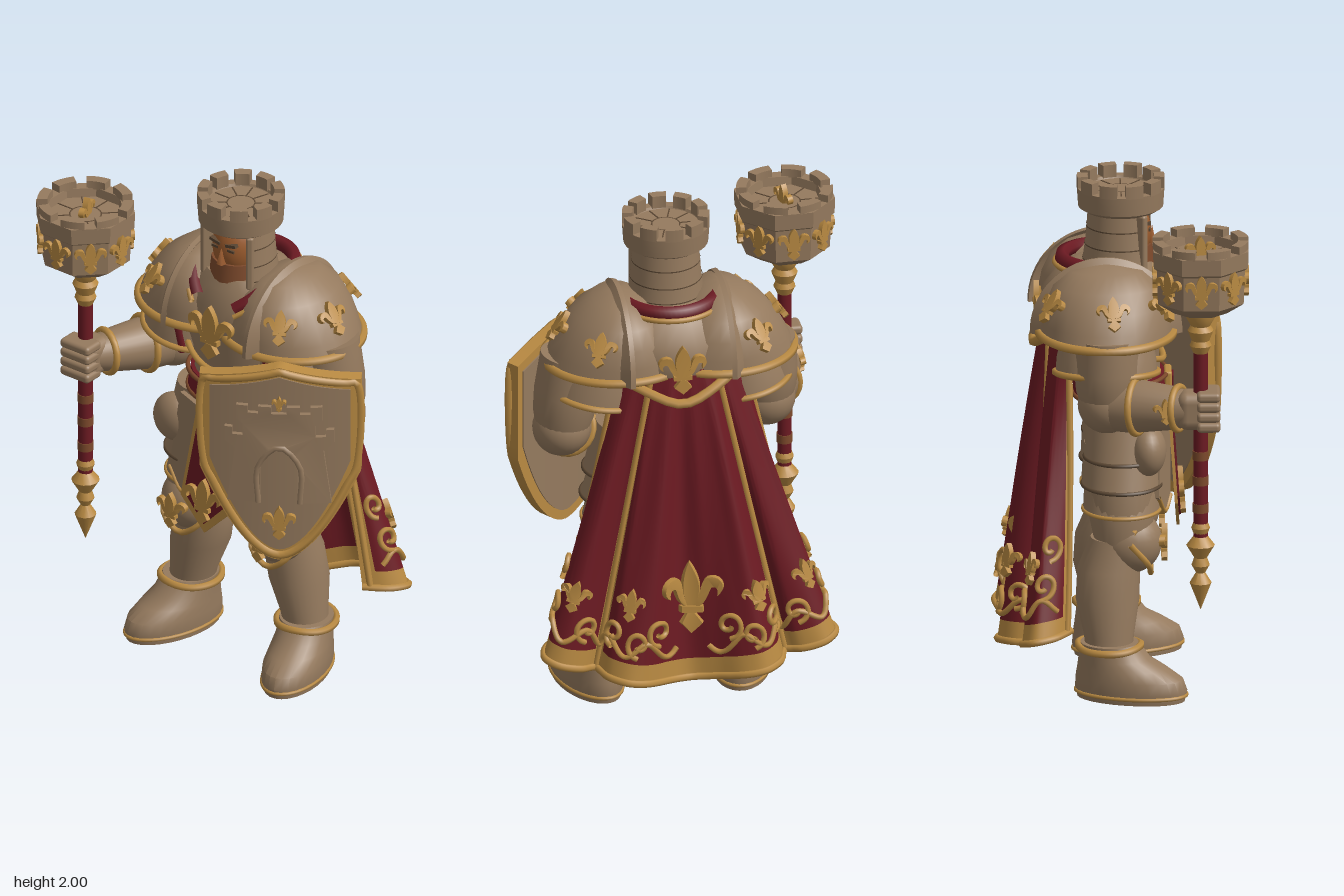
import * as THREE from 'three';
import { toCreasedNormals } from 'three/addons/utils/BufferGeometryUtils.js';
import { RoundedBoxGeometry } from 'three/addons/geometries/RoundedBoxGeometry.js';

const paint = (name, color) => Object.assign(new THREE.MeshStandardMaterial({ color, side: THREE.DoubleSide }), { name });
const V = (x, y, z) => new THREE.Vector3(x, y, z);
const P = (a) => a.map(([x, y]) => new THREE.Vector2(x, y));
const line = (n, fn) => Array.from({ length: n + 1 }, (_, i) => fn(i / n));
const TAU = Math.PI * 2;

// Adds a named mesh; dir turns its +z side towards a direction
function add(parent, name, geo, mat, pos = [0, 0, 0], dir = [0, 0, 1]) {
  const m = Object.assign(new THREE.Mesh(geo, mat), { name });
  m.position.set(...pos);
  m.lookAt(V(...pos).add(V(...dir)));
  parent.add(m);
}
function group(parent, name, pos, turn = [0, 0, 0]) {
  const g = Object.assign(new THREE.Group(), { name });
  g.position.set(...pos);
  g.rotation.set(...turn);
  parent.add(g);
  return g;
}
const lathe = (pts, seg = 32, start = 0, len = TAU) => toCreasedNormals(new THREE.LatheGeometry(P(pts), seg, start, len), 0.6);
const ball = (x, y, z) => new THREE.SphereGeometry(1, 24, 16).scale(x, y, z);
const block = (x, y, z, r) => new RoundedBoxGeometry(x, y, z, 3, r);
const extrude = (shape, depth) => new THREE.ExtrudeGeometry(shape, { depth, bevelEnabled: false, curveSegments: 8 });
const cord = (pts, r, closed = false) => new THREE.TubeGeometry(new THREE.CatmullRomCurve3(pts, closed), pts.length * 3, r, 6, closed);
const bead = (pts, r) => cord(pts.map((p) => V(...p)), r);
// Oval trim, with an optional V dip towards front and back
const oval = (y, rx, rz, cz, r, dip = 0) => cord(line(23, (t) => {
  const a = t * TAU * 23 / 24;
  return V(rx * Math.sin(a), y - dip * Math.cos(a) ** 4, cz + rz * Math.cos(a));
}), r, true);
// Moves every vertex by a rule
function warp(geo, rule) {
  const p = geo.attributes.position, v = V(0, 0, 0);
  for (let i = 0; i < p.count; i++) p.setXYZ(i, ...rule(v.fromBufferAttribute(p, i)).toArray());
  return toCreasedNormals(geo, 0.7);
}
// Skin over oval sections [y, rx, rz, cx, cz], listed upwards, with closed ends
function loft(rows, seg = 28) {
  const all = [[rows[0][0], 0, 0, ...rows[0].slice(3)], ...rows, [rows.at(-1)[0], 0, 0, ...rows.at(-1).slice(3)]];
  return warp(new THREE.CylinderGeometry(1, 1, all.length - 1, seg, all.length - 1, true), (v) => {
    const [y, rx, rz, cx = 0, cz = 0] = all[Math.round(v.y + (all.length - 1) / 2)];
    return v.set(cx + rx * v.x, y, cz + rz * v.z);
  });
}
// Round limb from a to b with radii [t, r]
function limb(a, b, rows) {
  const d = b.clone().sub(a), g = loft(rows.map(([t, r]) => [t * d.length(), r, r]));
  return g.applyQuaternion(new THREE.Quaternion().setFromUnitVectors(V(0, 1, 0), d.normalize())).translate(...a.toArray());
}
// Lily ornament of a given height; k bends it back at the sides
function lily(size, k = 0) {
  const c = new THREE.Shape().moveTo(0, 0.5).quadraticCurveTo(0.26, 0.2, 0.06, -0.14).lineTo(-0.06, -0.14).quadraticCurveTo(-0.26, 0.2, 0, 0.5);
  const sides = [-1, 1].map((s) => new THREE.Shape().moveTo(0.05 * s, -0.1)
    .bezierCurveTo(0.2 * s, 0, 0.12 * s, 0.3, 0.32 * s, 0.28).bezierCurveTo(0.48 * s, 0.26, 0.52 * s, 0.08, 0.38 * s, 0)
    .quadraticCurveTo(0.42 * s, 0.15, 0.31 * s, 0.13).bezierCurveTo(0.25 * s, 0.08, 0.25 * s, -0.1, 0.05 * s, -0.16));
  const band = new THREE.Shape(P([[-0.18, -0.21], [0.18, -0.21], [0.18, -0.12], [-0.18, -0.12]]));
  const foot = new THREE.Shape(P([[-0.05, -0.2], [-0.17, -0.36], [0, -0.5], [0.17, -0.36], [0.05, -0.2]]));
  return warp(extrude([c, ...sides, band, foot], 0.022), (v) => v.set(v.x * size, v.y * size, v.z - 0.006 - k * (v.x * size) ** 2));
}
// Battlement blocks in a circle, around a floor paved with n stones
function battlement(parent, stone, dark, n, r0, r1, y, h, floor) {
  const w = (Math.PI / n) * 0.66, s = new THREE.Shape().absarc(0, 0, r1, -w, w, false).absarc(0, 0, r0, w, -w, true);
  add(parent, 'pavingRing', new THREE.RingGeometry(r0 * 0.4, r0 * 0.44, 28).rotateX(-Math.PI / 2), dark, [0, floor + 0.002, 0]);
  for (let i = 0; i < n; i++) {
    add(parent, 'battlement', extrude(s, h).rotateX(-Math.PI / 2).rotateY((i + 0.5) / n * TAU), stone, [0, y, 0]);
    add(parent, 'pavingJoint', new THREE.BoxGeometry(r0 * 0.56, 0.004, 0.005).translate(r0 * 0.7, 0, 0).rotateY(i / n * TAU), dark, [0, floor, 0]);
  }
}

export function createModel() {
  const root = Object.assign(new THREE.Group(), { name: 'castleKnight' });
  const stone = paint('stone armour', 0x957a5e), gold = paint('gold', 0xb98a42), red = paint('red cloth', 0x6c1a22);
  const skin = paint('skin', 0x9c5c2e), dark = paint('dark joints', 0x5c4834), leather = paint('leather', 0x7e4a2c);
  const body = group(root, 'body', [0.05, 0, 0]);

  // Torso, collar and belt
  add(body, 'torso', loft([[0.84, 0.11, 0.1], [1.1, 0.2, 0.16], [1.24, 0.2, 0.17, 0, -0.02], [1.31, 0.23, 0.185, 0, -0.04], [1.44, 0.28, 0.24, 0, -0.065],
    [1.55, 0.27, 0.235, 0, -0.065], [1.63, 0.22, 0.19, 0, -0.05], [1.67, 0.15, 0.14, 0, -0.02]]), stone);
  add(body, 'chestTrim', oval(1.33, 0.25, 0.207, -0.045, 0.013, 0.055), gold);
  const scarf = (r, drop) => line(20, (t) => {
    const a = 0.5 + t * (TAU - 1);
    return V(r * Math.sin(a), 1.675 - drop - 0.13 * Math.max(0, Math.cos(a)) ** 2, -0.025 + (r + 0.015) * Math.cos(a));
  });
  add(body, 'scarf', cord(scarf(0.185, 0), 0.028), red);
  add(body, 'scarfTrim', cord(scarf(0.212, 0.02), 0.011), gold);
  add(body, 'neck', new THREE.CylinderGeometry(0.1, 0.115, 0.13, 20), leather, [0, 1.665, 0.02]);
  add(body, 'chestLily', lily(0.23, 0.9), gold, [0, 1.46, 0.186]);
  add(body, 'backLily', lily(0.2, 1.2), gold, [0, 1.48, -0.318], [0, 0, -1]);
  add(body, 'backTrim', bead([[-0.27, 1.46, -0.22], [-0.14, 1.39, -0.3], [0, 1.34, -0.335], [0.14, 1.39, -0.3], [0.27, 1.46, -0.22]], 0.02), gold);
  add(body, 'belt', loft([[1.13, 0.22, 0.18], [1.22, 0.21, 0.178, 0, -0.01]]), red);
  for (const y of [1.135, 1.215]) add(body, 'beltEdge', oval(y, 0.22, 0.18, -0.003, 0.009), leather);
  add(body, 'buckle', block(0.11, 0.1, 0.03, 0.01), gold, [0, 1.175, 0.18]);
  add(body, 'bucklePlate', new THREE.BoxGeometry(0.075, 0.06, 0.008), red, [0, 1.175, 0.198]);
  add(body, 'pouch', ball(0.095, 0.1, 0.07), stone, [-0.24, 0.97, 0.1]);

  // Tabard
  const tabard = group(body, 'tabard', [0, 1.13, 0.176], [-0.07, 0, 0]);
  const cut = (w, y) => extrude(new THREE.Shape(P([[-0.05 - w, 0], [-0.11 - w, -0.4 - w], [0, y], [0.11 + w, -0.4 - w], [0.05 + w, 0]])), 0.012);
  add(tabard, 'tabardBorder', cut(0.012, -0.535), gold);
  add(tabard, 'tabardCloth', cut(-0.01, -0.495), red, [0, 0, 0.008]);
  add(tabard, 'tabardLily', lily(0.19), gold, [0, -0.395, 0.024]);

  for (const s of [-1, 1]) {
    // Leg with overlapping hip plates
    const leg = group(body, s < 0 ? 'rightLeg' : 'leftLeg', [s * 0.215, 0, 0]);
    add(leg, 'thigh', loft([[0.58, 0.1, 0.1], [0.7, 0.115, 0.125], [0.9, 0.11, 0.13, -s * 0.04]]), stone);
    for (const [y0, y1, r] of [[0.72, 0.86, 0.152], [0.82, 0.98, 0.155], [0.93, 1.13, 0.146]]) {
      add(leg, 'hipPlate', loft([[y0, r, r * 0.97, -s * 0.04], [y1, r - 0.025, r - 0.012, -s * 0.065]]), stone);
      add(leg, 'hipPlateEdge', oval(y0, r, r * 0.97, 0, 0.008), y0 < 0.8 ? gold : dark, [-s * 0.04, 0, 0]);
    }
    const flap = group(leg, 'frontFlap', [-s * 0.075, 0.7, 0.152], [-0.02, s * 0.3, s * 0.07]);
    add(flap, 'flapPlate', extrude(new THREE.Shape(P([[-0.065 * s, 0.42], [0.06 * s, 0.42], [0.1 * s, 0.07], [0.01 * s, 0], [-0.06 * s, 0.05]])), 0.02), stone);
    add(flap, 'flapTrim', bead([[-0.06 * s, 0.05, 0.02], [0.01 * s, 0, 0.02], [0.1 * s, 0.07, 0.02]], 0.009), gold);

    // Shin, knee and boot
    add(leg, 'shin', loft([[0.14, 0.085, 0.09, s * 0.07, -0.05], [0.24, 0.09, 0.095, s * 0.055, -0.05], [0.38, 0.115, 0.122, s * 0.025, -0.055],
      [0.5, 0.115, 0.12, s * 0.005, -0.05], [0.62, 0.095, 0.1, 0, -0.02]]), stone);
    add(leg, 'knee', ball(0.115, 0.125, 0.125), stone, [0, 0.6, 0.03]);
    add(leg, 'kneeTrim', bead([[-0.118, 0.62, 0.03], [-0.085, 0.53, 0.1], [0, 0.475, 0.11], [0.085, 0.53, 0.1], [0.118, 0.62, 0.03]], 0.012), gold);
    add(leg, 'kneeTopTrim', bead([[-0.105, 0.66, 0.04], [0, 0.71, 0.1], [0.105, 0.66, 0.04]], 0.011), gold);
    add(leg, 'kneeLily', lily(0.15, 2.5), gold, [0, 0.595, 0.158]);
    const boot = group(leg, 'boot', [s * 0.08, 0, 0], [0, s * 0.25, 0]);
    add(boot, 'bootUpper', loft([[0, 0.11, 0.21, 0, 0.035], [0.04, 0.116, 0.22, 0, 0.035], [0.085, 0.116, 0.21, 0, 0.028], [0.125, 0.11, 0.175, 0, 0],
      [0.16, 0.105, 0.14, 0, -0.03], [0.22, 0.103, 0.112, 0, -0.05]]), stone);
    add(boot, 'soleTrim', oval(0.025, 0.113, 0.216, 0.035, 0.008), gold);
    add(boot, 'ankleTrim', oval(0.2, 0.112, 0.12, -0.05, 0.015, -0.01), gold);

    // Shoulder armour, red straps beside the chest plate
    const shoulder = group(body, s < 0 ? 'rightShoulder' : 'leftShoulder', [s * 0.2, 1.44, -0.06]);
    add(shoulder, 'upperPlate', loft([[0, 0.282, 0.255], [0.05, 0.262, 0.252], [0.12, 0.225, 0.238], [0.19, 0.17, 0.205], [0.245, 0.095, 0.14], [0.272, 0.02, 0.04]]), stone);
    add(shoulder, 'upperTrim', oval(0, 0.284, 0.257, 0, 0.018), gold);
    const guard = new THREE.LatheGeometry(P([[0.235, 0.025], [0.288, -0.012], [0.292, 0.008], [0.24, 0.05]]), 32, (s > 0 ? 1.5 : 0.5) * Math.PI - 1.6, 3.2);
    add(shoulder, 'neckGuard', toCreasedNormals(guard.rotateZ(-s * Math.PI / 2), 0.6), stone);
    const low = group(shoulder, 'lowerPlates', [s * 0.08, -0.14, 0], [0, 0, s * 0.15]);
    add(low, 'lowerPlate', loft([[0, 0.19, 0.195], [0.06, 0.18, 0.19], [0.15, 0.15, 0.17]]), stone);
    add(low, 'lowerTrim', oval(0, 0.192, 0.197, 0, 0.013), gold);
    for (const [c, d] of [[0.995, 0.1], [0.5, 0.867], [0.5, -0.867]])
      add(shoulder, 'shoulderLily', lily(0.14, 2), gold, [s * c * 0.225, 0.13, d * 0.245], [s * c * 0.8, 0.55, d * 0.8]);
    add(body, 'chestStrap', bead([[s * 0.245, 1.5, 0.09], [s * 0.225, 1.4, 0.105], [s * 0.2, 1.27, 0.1]], 0.022), red);
  }

  // Head and tower helmet
  const head = group(body, 'head', [0, 0, 0]);
  add(head, 'face', ball(0.1, 0.135, 0.105), skin, [0, 1.775, 0.012]);
  add(head, 'jaw', block(0.115, 0.07, 0.1, 0.03), skin, [0, 1.69, 0.055]);
  add(head, 'nose', new THREE.ConeGeometry(0.019, 0.07, 4).rotateY(Math.PI / 4), skin, [0, 1.765, 0.12]);
  add(head, 'mouth', new THREE.BoxGeometry(0.05, 0.007, 0.008), dark, [0, 1.71, 0.106]);
  for (const s of [-1, 1]) {
    add(head, 'brow', new THREE.BoxGeometry(0.05, 0.012, 0.02).rotateZ(s * 0.2), dark, [s * 0.038, 1.815, 0.105]);
    add(head, 'eye', new THREE.BoxGeometry(0.03, 0.01, 0.008), dark, [s * 0.038, 1.792, 0.109]);
    add(head, 'cheekGuard', block(0.03, 0.23, 0.05, 0.01), stone, [s * 0.105, 1.755, 0.075], [s * 0.56, 0, 0.83]);
  }
  const open = 0.85, round = TAU - 2 * open;
  add(head, 'helmet', lathe([[0.155, 1.61], [0.147, 1.66], [0.135, 1.75], [0.125, 1.88]], 32, open, round), stone);
  for (const [y, r] of [[1.67, 0.147], [1.73, 0.14], [1.8, 0.133]]) add(head, 'stoneCourse', lathe([[r, y], [r, y + 0.005]], 32, open, round), dark);
  add(head, 'crownWall', lathe([[0, 1.865], [0.14, 1.865], [0.163, 1.88], [0.168, 1.955], [0.135, 1.955], [0.13, 1.945], [0, 1.945]]), stone);
  battlement(head, stone, dark, 10, 0.128, 0.168, 1.95, 0.05, 1.945);

  // Right arm holding the mace, left arm behind the shield
  for (const [s, a, b, c] of [[-1, V(-0.32, 1.46, -0.06), V(-0.33, 1.2, -0.06), V(-0.465, 1.22, 0.27)], [1, V(0.43, 1.46, -0.06), V(0.47, 1.15, -0.06), V(0.38, 1.07, 0.1)]]) {
    const arm = group(root, s < 0 ? 'rightArm' : 'leftArm', [0, 0, 0]), at = (t) => b.clone().lerp(c, t).toArray();
    add(arm, 'upperArm', limb(a, b, [[0, 0.12], [0.5, 0.125], [0.8, 0.118], [1, 0.1]]), stone);
    add(arm, 'elbow', ball(0.112, 0.112, 0.112), stone, b.toArray());
    add(arm, 'forearm', limb(b, c, [[0, 0.1], [0.3, 0.105], [0.75, 0.085], [1, 0.065]]), stone);
    for (const [t, r] of [[0.35, 0.106], [0.82, 0.083]]) add(arm, 'cuffTrim', new THREE.TorusGeometry(r, 0.014, 8, 24), gold, at(t), c.clone().sub(b).toArray());
    add(arm, 'cuffLily', lily(0.1, 3).translate(0, 0, 0.098), gold, at(0.58), [s, 0.1, 0.3]);
    add(arm, 'fist', block(0.12, 0.15, 0.13, 0.04), stone, c.toArray());
  }

  // Mace and the fingers around it
  const mace = group(root, 'mace', [-0.475, 0, 0.295]);
  for (let i = 0; i < 4; i++) add(mace, 'finger', block(0.14, 0.038, 0.09, 0.015), stone, [0, 1.165 + i * 0.04, 0.03]);
  add(mace, 'shaft', new THREE.CylinderGeometry(0.028, 0.028, 0.9, 16), red, [0, 1.11, 0]);
  for (const y of [0.83, 0.94, 1.04]) add(mace, 'gripWrap', new THREE.CylinderGeometry(0.031, 0.031, 0.035, 16), leather, [0, y, 0]);
  add(mace, 'upperCollar', lathe([[0.028, 1.45], [0.042, 1.48], [0.034, 1.5], [0.05, 1.54], [0.038, 1.56], [0.055, 1.59], [0.06, 1.63]], 16), gold);
  add(mace, 'pommel', lathe([[0, 0.42], [0.042, 0.53], [0.018, 0.57], [0.035, 0.6], [0.025, 0.63], [0.055, 0.68], [0.025, 0.72], [0.036, 0.75], [0.028, 0.77]], 12), gold);
  add(mace, 'maceHead', lathe([[0.05, 1.61], [0.11, 1.62], [0.177, 1.665], [0.182, 1.8], [0.195, 1.81], [0.197, 1.875], [0.15, 1.875], [0.145, 1.84], [0, 1.84]], 8).rotateY(Math.PI / 8), stone);
  battlement(mace, stone, dark, 8, 0.145, 0.185, 1.87, 0.035, 1.84);
  add(mace, 'topLily', lily(0.13), gold, [0, 1.85, 0], [1, 0, -0.3]);
  for (const [x, z] of line(7, (t) => [Math.sin(t * TAU * 7 / 8), Math.cos(t * TAU * 7 / 8)])) add(mace, 'maceLily', lily(0.135), gold, [x * 0.168, 1.745, z * 0.168], [x, 0, z]);

  // Shield: a curved plate shaped from a box
  const shield = group(root, 'shield', [0.39, 0, 0.182], [0, 0.6, 0]), W = 0.31;
  const bulge = (x) => 0.045 * (1 - (x / W) ** 2), top = (u) => 1.46 - 0.085 * Math.abs(u) + 0.025 * u * u, bottom = (u) => 0.62 + 0.38 * Math.abs(u) ** 1.8;
  const plate = (inset, thick, z) => warp(new THREE.BoxGeometry(2, 1, thick, 28, 8, 1), (v) => {
    const x = v.x * (W - inset);
    return v.set(x, THREE.MathUtils.lerp(bottom(v.x) + inset * 1.2, top(v.x) - inset, v.y + 0.5), v.z + z + bulge(x));
  });
  add(shield, 'shieldRim', plate(0, 0.055, 0), gold);
  add(shield, 'shieldFront', plate(0.04, 0.008, 0.029), stone);
  add(shield, 'shieldBack', plate(0.035, 0.008, -0.029), stone);
  const edge = [...line(16, (t) => [t * 2 - 1, bottom(t * 2 - 1) + 0.022]), ...line(16, (t) => [1 - t * 2, top(1 - t * 2) - 0.018])];
  add(shield, 'rimRidge', cord(edge.map(([u, y]) => V(u * (W - 0.018), y, 0.026 + bulge(u * W))), 0.017, true), gold);
  const half = [[0.2, -0.18], [0.17, 0.05], [0.21, 0.08], [0.21, 0.14], [0.18, 0.14], [0.18, 0.11], [0.14, 0.11], [0.14, 0.16], [0.165, 0.18], [0.165, 0.24],
    [0.12, 0.24], [0.12, 0.21], [0.08, 0.21], [0.08, 0.24], [0.03, 0.24], [0.03, 0.21]];
  const castle = new THREE.Shape(P([[0.07, -0.18], ...half, ...half.map(([x, y]) => [-x, y]).reverse(), [-0.07, -0.18], [-0.07, -0.02]])).absarc(0, -0.02, 0.07, Math.PI, 0, true);
  add(shield, 'castleRelief', warp(extrude(castle, 0.03), (v) => v.setZ(v.z + 0.022 + bulge(v.x))), stone, [0, 1.06, 0]);
  add(shield, 'gateArch', bead([[-0.08, 0.88, 0.09], [-0.08, 1.04, 0.09], [0, 1.125, 0.094], [0.08, 1.04, 0.09], [0.08, 0.88, 0.09]], 0.012), stone);
  for (const [size, y] of [[0.14, 0.79], [0.06, 1.31]]) add(shield, 'shieldLily', lily(size, 0.5), gold, [0, y, 0.082]);

  // Cape: straight threads from the shoulder line to a folded hem
  const cape = group(root, 'cape', [0.025, 0, 0]);
  const fold = [[0.09, 0.19, -0.4], [0.19, 0.215, -0.465], [0.27, 0.23, -0.475], [0.34, 0.24, -0.42], [0.37, 0.245, -0.34], [0.43, 0.26, -0.375],
    [0.52, 0.285, -0.385], [0.57, 0.305, -0.34], [0.54, 0.315, -0.26], [0.46, 0.32, -0.2]];
  const hem = new THREE.CatmullRomCurve3([...fold.map(([x, y, z]) => V(-x, y, z)).reverse(), V(0, 0.18, -0.37), ...fold.map((f) => V(...f))]);
  const cloth = (u, v) => V(0.25 * u + 0.01, 1.46, -0.3 + 0.1 * u * u).lerp(hem.getPoint((u + 1) / 2), v).add(V(0, 0, 0.04 * Math.sin(u * 24) * v * (1 - v)));
  const sheet = (name, mat, u0, u1, v0, v1, n) => add(cape, name, warp(new THREE.PlaneGeometry(1, 1, n, 12), (q) =>
    q.copy(cloth(u0 + (u1 - u0) * (q.x + 0.5), v0 + (v1 - v0) * (0.5 - q.y)))), mat);
  sheet('capeCloth', red, -0.47, 0.47, 0, 0.935, 50);
  sheet('capeHem', gold, -1, 1, 0.935, 1, 90);
  add(cape, 'hemCord', cord(line(40, (t) => cloth(t * 2 - 1, 0.995)), 0.015), gold);
  // Ornaments lie on the outer side of the cloth
  const outer = (u, v, d) => {
    const p = cloth(u, v), n = cloth(u + 0.01, v).sub(p).cross(cloth(u, v - 0.02).sub(p)).normalize();
    return p.addScaledVector(n, -d);
  };
  const curls = [[0.17, 0.83], [0.27, 0.87], [0.4, 0.85], [0.62, 0.86], [0.83, 0.82], [0.86, 0.7]];
  for (const [size, u, v] of [[0.29, 0, 0.73], [0.13, -0.33, 0.75], [0.13, 0.33, 0.75], [0.13, -0.72, 0.76], [0.13, 0.72, 0.76]])
    add(cape, 'capeLily', warp(lily(size), (q) => q.copy(outer(u + q.x / 0.8, v - q.y / 1.25, q.z + 0.008))), gold);
  for (const s of [-1, 1]) {
    sheet('capeSide', red, s * 0.53, s * 0.94, 0, 0.935, 30);
    for (const [u0, u1] of [[0.47, 0.53], [0.94, 1]]) {
      sheet('capeBand', gold, s * u0, s * u1, 0, 0.935, 4);
      add(cape, 'bandCord', cord(line(8, (t) => cloth(s * (u0 + u1) / 2, t)), 0.013), gold);
    }
    add(cape, 'vine', cord(line(36, (t) => outer(s * (0.08 + 0.82 * t), 0.89 + 0.025 * Math.sin(t * 26), 0.011)), 0.011), gold);
    for (const [u, v] of curls) add(cape, 'scroll', cord(line(16, (t) =>
      outer(s * (u + 0.06 * (1 - 0.75 * t) * Math.sin(t * 7)), v + 0.045 * (1 - 0.75 * t) * Math.cos(t * 7), 0.011)), 0.011), gold);
  }
  return root;
}
